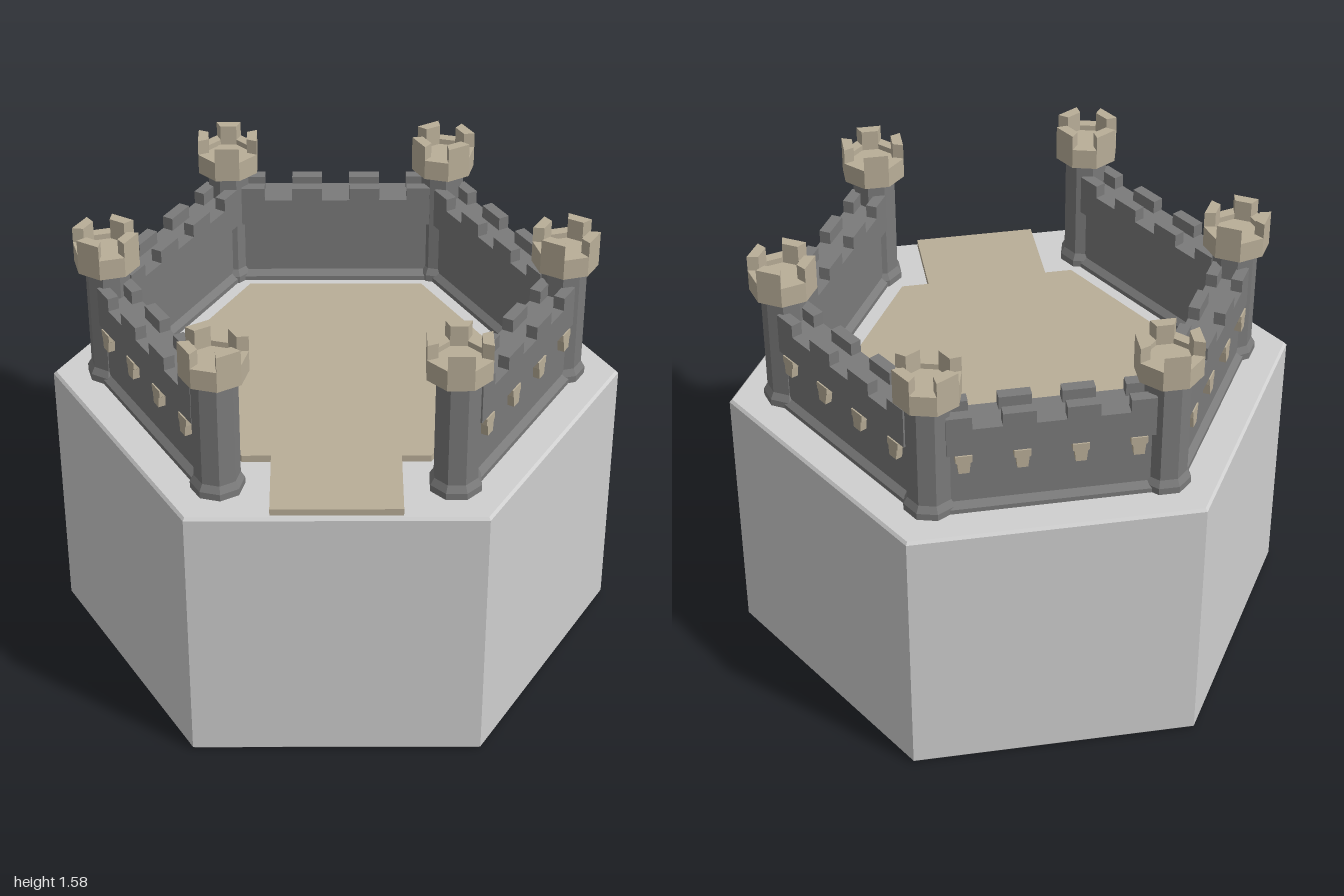
import * as THREE from 'three';

const stone = new THREE.MeshStandardMaterial({ color: 0xcfcfcf });
stone.name = 'pale rock';
const masonry = new THREE.MeshStandardMaterial({ color: 0x7a7a7a });
masonry.name = 'grey masonry';
const sand = new THREE.MeshStandardMaterial({ color: 0xb9ae98 });
sand.name = 'sandstone';

const rad = THREE.MathUtils.degToRad;
const BASE_TOP = 1.005, TOWER_RADIUS = 0.786, HEAD_R = 0.115, HEAD_INNER = 0.076;

function mesh(name, geometry, material) {
  const flat = geometry.index ? geometry.toNonIndexed() : geometry;
  flat.computeVertexNormals();
  const m = new THREE.Mesh(flat, material);
  m.name = name;
  return m;
}

const points = (list) => list.map(([x, y]) => new THREE.Vector2(x, y));
const lathe = (profile, sides, start = 0) => new THREE.LatheGeometry(points(profile), sides, start);
const extrude = (outline, depth) =>
  new THREE.ExtrudeGeometry(new THREE.Shape(points(outline)), { depth, bevelEnabled: false });

// Octagonal tower with a flared foot and a crowned head
function createTower() {
  const tower = new THREE.Group();
  const half = rad(22.5);
  tower.add(mesh('towerShaft', lathe(
    [[0, 1], [0.092, 1], [0.092, 1.03], [0.078, 1.055], [0.078, 1.46], [0, 1.46]], 8, half), masonry));
  tower.add(mesh('towerHead', lathe(
    [[0, 1.45], [HEAD_R, 1.45], [HEAD_R, 1.525], [HEAD_INNER, 1.525], [HEAD_INNER, 1.505], [0, 1.505]], 8, half), sand));
  const c = Math.cos(half), s = Math.sin(half);
  for (let i = 0; i < 4; i++) {
    const g = extrude([
      [HEAD_INNER * c, -HEAD_INNER * s], [HEAD_R * c, -HEAD_R * s],
      [HEAD_R * c, HEAD_R * s], [HEAD_INNER * c, HEAD_INNER * s]], 0.055);
    g.rotateX(-Math.PI / 2);
    g.rotateY(i * Math.PI / 2);
    g.translate(0, 1.525, 0);
    tower.add(mesh('towerMerlon', g, sand));
  }
  return tower;
}

// Wall running along local z, with its outer side towards local +x
function createWall() {
  const wall = new THREE.Group();
  const L = 0.69;
  const side = [[0.066, 1], [0.066, 1.022], [0.045, 1.042], [0.045, 1.245], [0.065, 1.245], [0.065, 1.347]];
  const mirrored = side.map(([x, y]) => [-x, y]).reverse();
  const body = extrude([...side, ...mirrored], L);
  body.translate(0, 0, -L / 2);
  wall.add(mesh('wallBody', body, masonry));

  // Two rows of merlons beside the walkway
  const spans = [[-L / 2, -0.26], [-0.16, -0.05], [0.05, 0.16], [0.26, L / 2]];
  for (const x of [-0.045, 0.045]) {
    for (const [a, b] of spans) {
      const m = mesh('wallMerlon', new THREE.BoxGeometry(0.04, 0.05, b - a), masonry);
      m.position.set(x, 1.37, (a + b) / 2);
      wall.add(m);
    }
  }

  // Tapered corbels under the outer overhang
  for (let i = 0; i < 4; i++) {
    const g = extrude([[-0.018, 1.175], [0.018, 1.175], [0.022, 1.215], [0.028, 1.22],
      [0.028, 1.245], [-0.028, 1.245], [-0.028, 1.22], [-0.022, 1.215]], 0.03);
    g.rotateY(Math.PI / 2);
    g.translate(0.04, 0, (i - 1.5) * 0.193);
    wall.add(mesh('corbel', g, sand));
  }
  return wall;
}

export function createModel() {
  const model = new THREE.Group();
  model.name = 'hexagonalCastle';

  // Hexagonal rock with slightly eased rims
  model.add(mesh('rockBase', lathe(
    [[0, 0], [0.99, 0], [1, 0.01], [1, BASE_TOP - 0.01], [0.99, BASE_TOP], [0, BASE_TOP]], 6), stone));

  // Courtyard floor with the gate apron
  const floor = extrude([
    [0, -0.635], [0.085, -0.586], [0.235, -0.845], [0.614, -0.625], [0.465, -0.367], [0.55, -0.3175],
    [0.55, 0.3175], [0, 0.635], [-0.55, 0.3175], [-0.55, -0.3175]], 0.03);
  floor.rotateX(-Math.PI / 2);
  floor.translate(0, 1, 0);
  model.add(mesh('courtyardFloor', floor, sand));

  // Towers on the six corners
  for (let i = 0; i < 6; i++) {
    const angle = rad(i * 60);
    const tower = createTower();
    tower.name = 'tower';
    tower.position.set(Math.sin(angle) * TOWER_RADIUS, 0, Math.cos(angle) * TOWER_RADIUS);
    tower.rotation.y = angle + rad(60);
    model.add(tower);
  }

  // Walls on five sides, the sixth left open as the gate
  const apothem = TOWER_RADIUS * Math.cos(rad(30));
  for (let i = 1; i < 6; i++) {
    const angle = rad(30 + i * 60);
    const wall = createWall();
    wall.name = 'wall';
    wall.position.set(Math.sin(angle) * apothem, 0, Math.cos(angle) * apothem);
    wall.rotation.y = angle - Math.PI / 2;
    model.add(wall);
  }
  return model;
}
